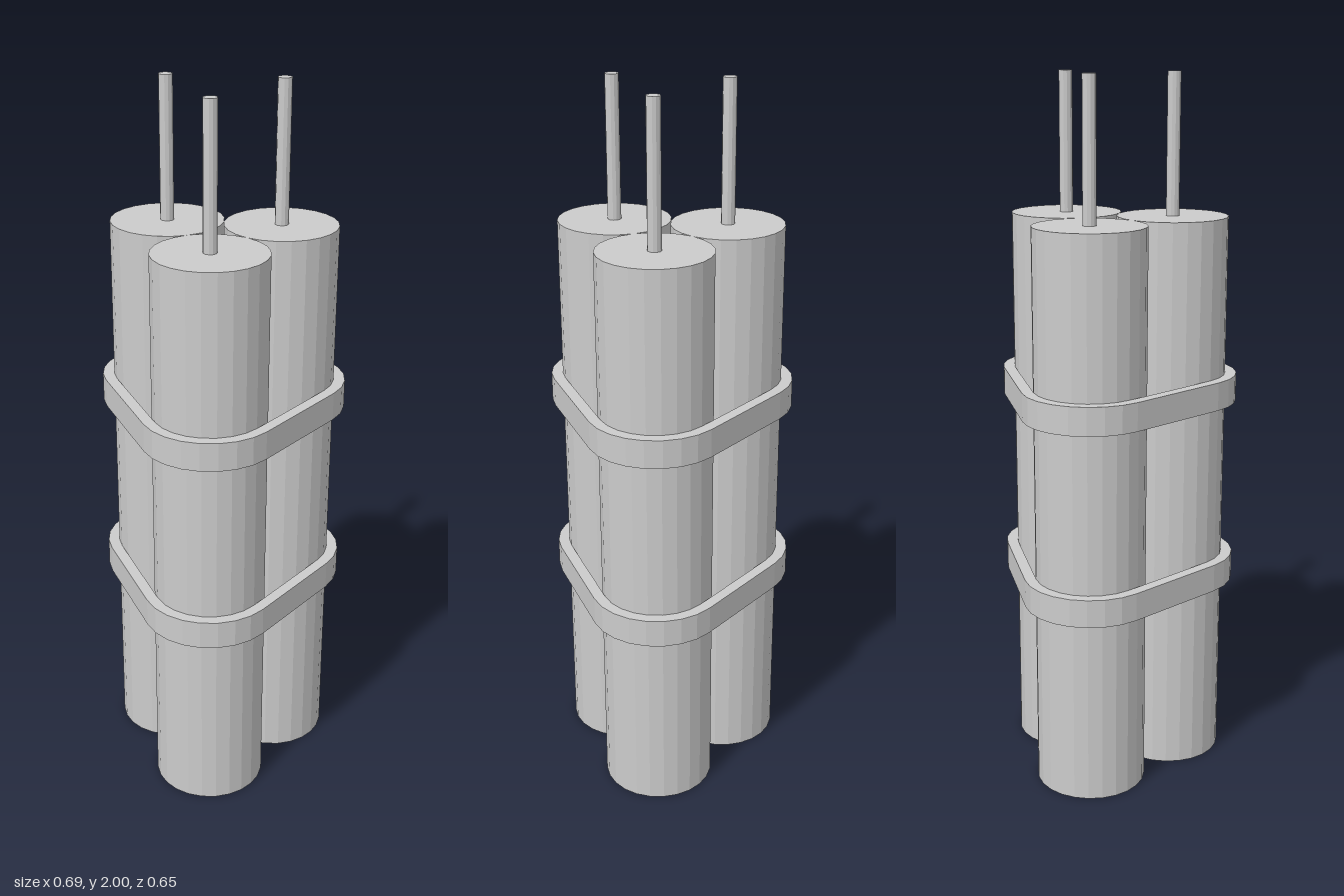
import * as THREE from 'three';

const R = 0.156, STICK_H = 1.61, TOP = 2;
const material = new THREE.MeshStandardMaterial({ color: 0xcccccc, flatShading: true });

// Stick centres (x, z) in order around the bundle
const centres = [[R, 0.134], [-R, 0.134], [0, -0.136]];

function addCylinder(parent, name, radius, y0, y1, sides) {
  const mesh = new THREE.Mesh(new THREE.CylinderGeometry(radius, radius, y1 - y0, sides), material);
  mesh.name = name;
  mesh.position.y = (y0 + y1) / 2;
  parent.add(mesh);
}

// Rounded triangle: a 120 degree arc around each stick, joined by straight runs
function outline(radius) {
  const points = [];
  centres.forEach(([x, z], i) => {
    for (let k = 0; k <= 8; k++) {
      const a = THREE.MathUtils.degToRad(-30 + 120 * i + 15 * k);
      points.push(new THREE.Vector2(x + radius * Math.cos(a), z + radius * Math.sin(a)));
    }
  });
  return points;
}

export function createModel() {
  const model = new THREE.Group();
  model.name = 'stickBundle';

  // Three sticks, each with a thin fuse on top
  centres.forEach(([x, z], i) => {
    const stick = new THREE.Group();
    stick.name = ['leftStick', 'rightStick', 'backStick'][i];
    stick.position.set(x, 0, z);
    addCylinder(stick, 'stickBody', R, 0, STICK_H, 24);
    addCylinder(stick, 'fuse', 0.019, STICK_H, TOP, 12);
    model.add(stick);
  });

  // Two straps wrapped around the bundle
  const shape = new THREE.Shape(outline(0.188));
  shape.holes.push(new THREE.Path(outline(R)));
  const strapGeometry = new THREE.ExtrudeGeometry(shape, { depth: 0.08, bevelEnabled: false });
  strapGeometry.rotateX(Math.PI / 2);
  [['lowerStrap', 0.622], ['upperStrap', 1.164]].forEach(([name, top]) => {
    const strap = new THREE.Mesh(strapGeometry, material);
    strap.name = name;
    strap.position.y = top;
    model.add(strap);
  });

  return model;
}
